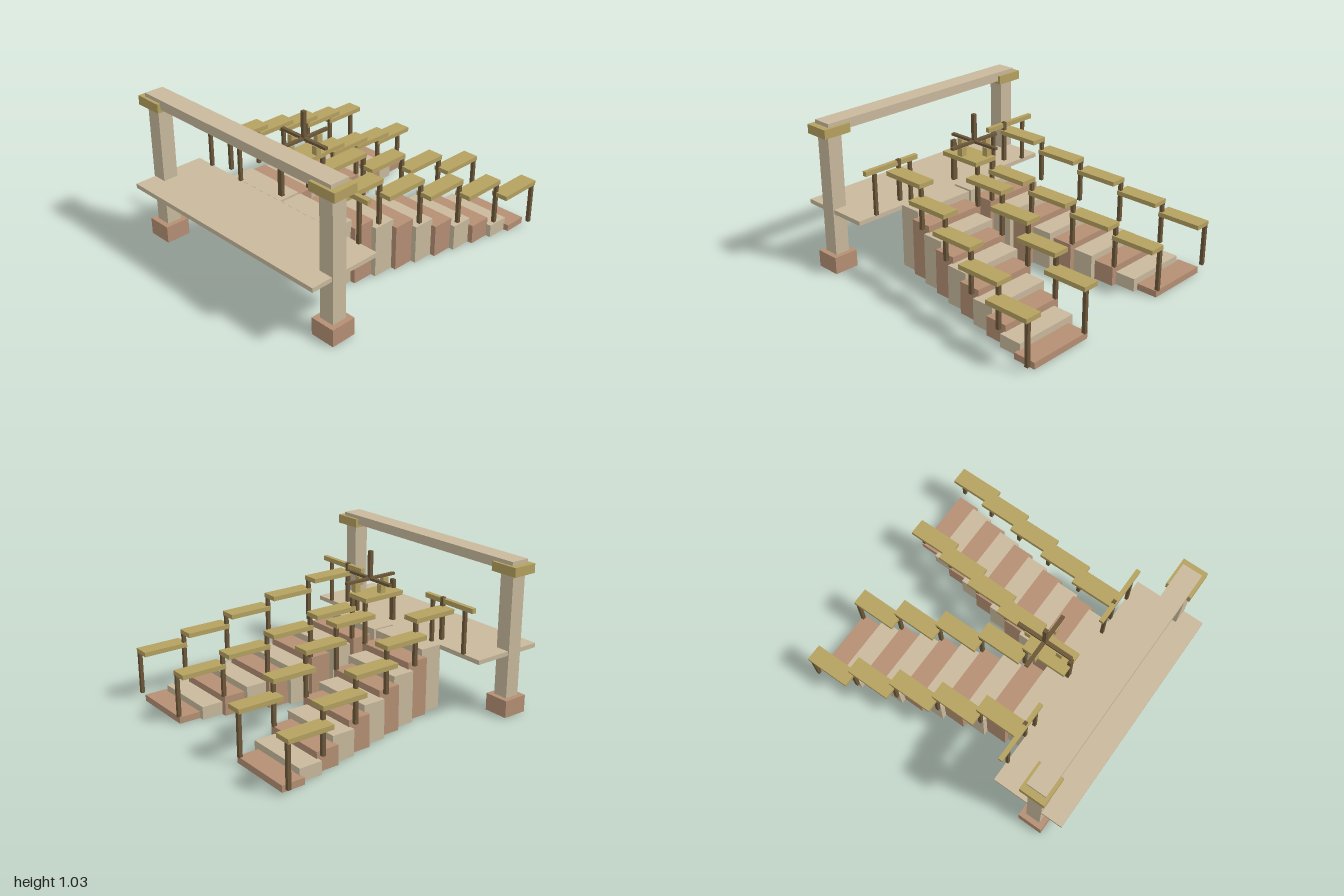
import * as THREE from 'three';

const mat = (name, color) => {
  const m = new THREE.MeshStandardMaterial({ color });
  m.name = name;
  return m;
};

export function createModel() {
  const stone = mat('pale stone', 0xc9b99d);
  const clay = mat('clay', 0xb58f74);
  const ochre = mat('ochre wood', 0xb5a160);
  const brown = mat('dark wood', 0x6c583a);

  const model = new THREE.Group();
  model.name = 'twinStairGate';

  // box given by its extents on each axis
  const box = (parent, name, material, [x0, x1], [y0, y1], [z0, z1]) => {
    const mesh = new THREE.Mesh(new THREE.BoxGeometry(x1 - x0, y1 - y0, z1 - z0), material);
    mesh.position.set((x0 + x1) / 2, (y0 + y1) / 2, (z0 + z1) / 2);
    mesh.name = name;
    parent.add(mesh);
  };
  const around = (c, size) => [c - size / 2, c + size / 2];
  // the same range on the left (+1) or right (-1) side
  const flip = (s, [a, b]) => (s > 0 ? [a, b] : [-b, -a]);

  // landing and lintel
  box(model, 'landing', stone, [-0.825, 0.825], [0.41, 0.44], [0.487, 1.0]);
  box(model, 'lintel', stone, [-0.835, 0.835], [0.97, 1.035], [0.73, 0.865]);

  for (const s of [1, -1]) {
    const side = new THREE.Group();
    side.name = s > 0 ? 'leftSide' : 'rightSide';
    model.add(side);

    // gate pillar
    box(side, 'pillarBase', clay, flip(s, around(0.78, 0.175)), [0, 0.117], around(0.798, 0.175));
    box(side, 'pillar', stone, flip(s, around(0.78, 0.105)), [0.117, 0.95], around(0.798, 0.105));
    box(side, 'pillarCap', ochre, flip(s, around(0.78, 0.2)), [0.948, 1.01], around(0.798, 0.175));

    // stairs drift outward as they descend to the back
    for (let i = 0; i < 10; i++) {
      box(side, 'step', i % 2 ? clay : stone, flip(s, around(0.24 + 0.0364 * i, 0.46)),
        [0, 0.441 - 0.0441 * i], around(0.412 - 0.1473 * i, 0.157));
    }

    // handrails and their posts; the first post stands on its own at the landing
    for (const railX of [0.03, 0.523]) {
      for (let k = -1; k < 5; k++) {
        const x = railX + 0.0727 * k, z = 0.337 - 0.294 * k, y = 0.68 - 0.0885 * k;
        box(side, 'railPost', brown, flip(s, around(x + 0.037, 0.024)), [y - 0.285, y + 0.002], around(z - 0.147, 0.024));
        if (k >= 0) box(side, 'handrail', ochre, flip(s, around(x, 0.117)), [y, y + 0.031], around(z, 0.316));
      }
    }

    // landing railing
    box(side, 'landingRail', ochre, flip(s, [0.33, 0.76]), [0.73, 0.762], around(0.491, 0.03));
    for (const x of [0.387, 0.682]) {
      box(side, 'landingRailPost', brown, flip(s, around(x, 0.022)), [0.44, 0.73], around(0.491, 0.022));
    }
  }

  // hanging lamp: rod, crossed arms and four lanterns
  const lamp = new THREE.Group();
  lamp.name = 'hangingLamp';
  lamp.position.set(0, 0, 0.286);
  model.add(lamp);
  box(lamp, 'rod', brown, around(0, 0.026), [0.802, 1.0], around(0, 0.026));
  box(lamp, 'crossArm', brown, around(0, 0.405), [0.802, 0.82], around(0, 0.026));
  box(lamp, 'longArm', brown, around(0, 0.026), [0.8025, 0.8195], around(0, 0.405));
  for (const [x, z] of [[0.112, 0], [-0.112, 0], [0, 0.119], [0, -0.119]]) {
    box(lamp, 'lantern', ochre, around(x, 0.04), [0.743, 0.802], around(z, 0.04));
  }

  return model;
}
